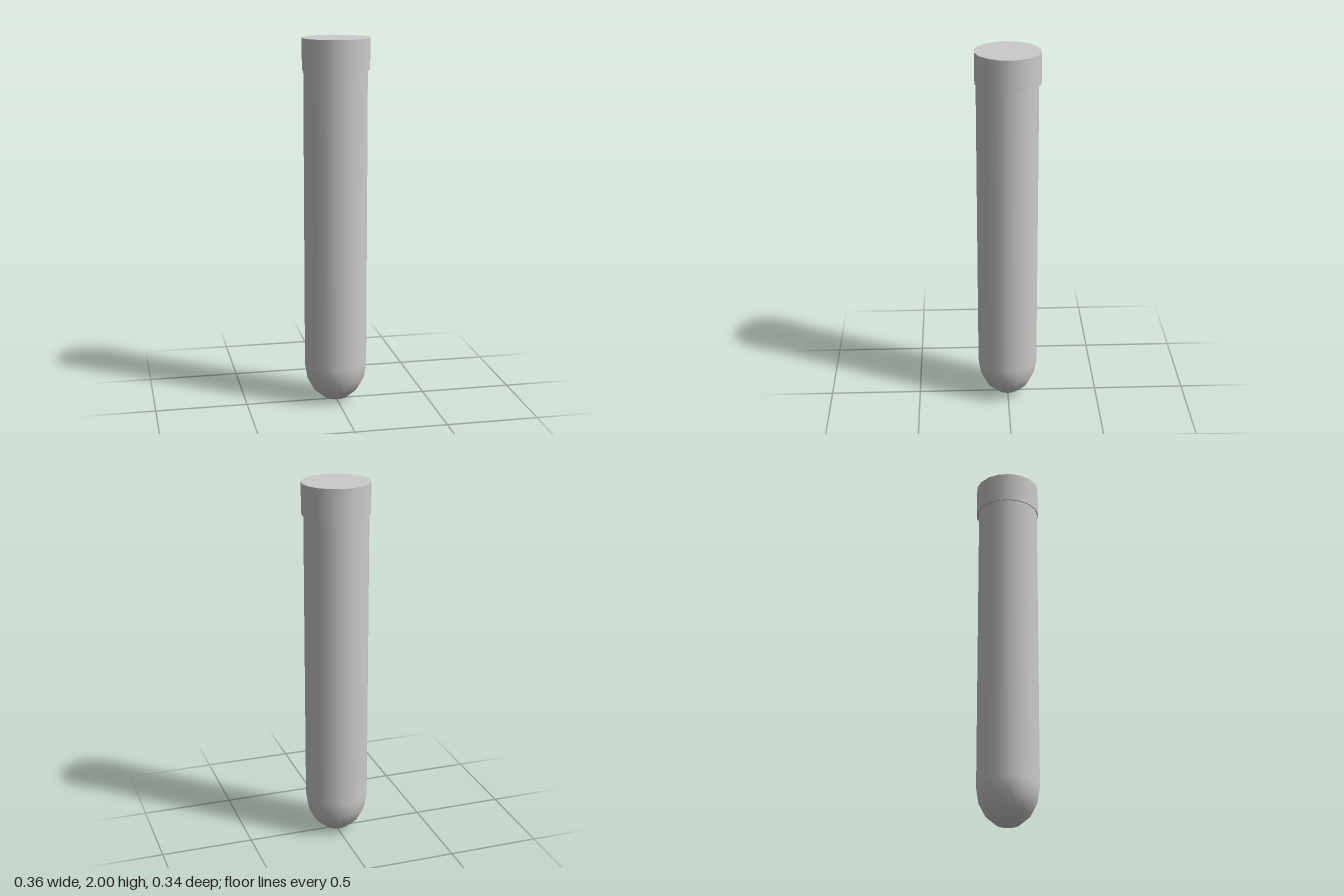
import * as THREE from 'three';

const SIDES = 18;
const DEPTH_SCALE = 0.962; // slightly oval cross-section

export function createModel() {
  const group = new THREE.Group();
  const material = new THREE.MeshStandardMaterial({ color: 0xcccccc, side: THREE.DoubleSide });

  const addPart = (name, geometry, x, y, z) => {
    const mesh = new THREE.Mesh(geometry, material);
    mesh.name = name;
    mesh.position.set(x, y, z);
    mesh.scale.z = DEPTH_SCALE;
    group.add(mesh);
  };

  // Tube: rounded bottom in four steps, then a straight wall up into the cap
  const radius = 0.172, domeHeight = 0.215, capBottom = 1.833;
  const profile = [];
  for (let i = 0; i <= 4; i++) {
    const a = (i / 4) * Math.PI / 2;
    profile.push(new THREE.Vector2(radius * Math.sin(a), domeHeight * (1 - Math.cos(a))));
  }
  profile.push(new THREE.Vector2(radius, capBottom + 0.02));
  addPart('tube', new THREE.LatheGeometry(profile, SIDES, Math.PI / 2), -0.003, 0, 0.0015);

  // Cap: a wider flat-topped lid
  const capHeight = 2 - capBottom;
  const cap = new THREE.CylinderGeometry(0.182, 0.182, capHeight, SIDES, 1, false, Math.PI / 2);
  addPart('cap', cap, 0, capBottom + capHeight / 2, -0.0015);

  return group;
}
